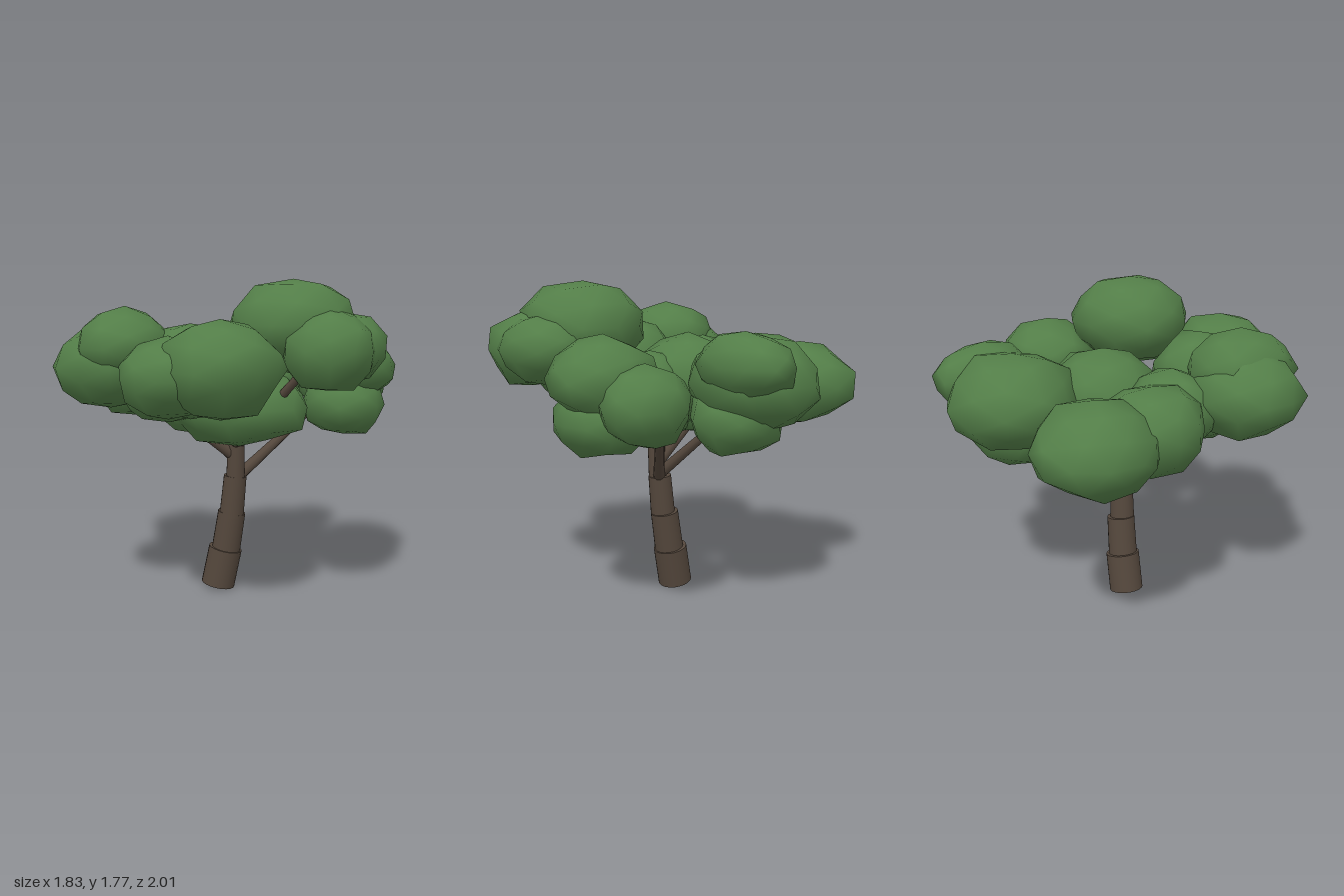
import * as THREE from 'three';
import { mergeVertices } from 'three/addons/utils/BufferGeometryUtils.js';

const bark = new THREE.MeshStandardMaterial({ color: 0x54473c });
bark.name = 'bark brown';
const leaf = new THREE.MeshStandardMaterial({ color: 0x537e48 });
leaf.name = 'leaf green';

// Small seeded random generator
function seeded(seed) {
  let s = seed * 7919 + 17;
  return () => {
    s = (s * 16807) % 2147483647;
    return s / 2147483647;
  };
}

// Tapered cylinder between two points
function limb(name, from, to, r0, r1, sides) {
  const a = new THREE.Vector3(...from), b = new THREE.Vector3(...to);
  const dir = b.clone().sub(a);
  const mesh = new THREE.Mesh(new THREE.CylinderGeometry(r1, r0, dir.length(), sides), bark);
  mesh.position.copy(a).add(b).multiplyScalar(0.5);
  mesh.quaternion.setFromUnitVectors(new THREE.Vector3(0, 1, 0), dir.normalize());
  mesh.name = name;
  return mesh;
}

// Smooth-shaded, slightly uneven low-poly ellipsoid
function leafClump(name, [x, y, z], [rx, ry, rz], seed) {
  let geo = new THREE.IcosahedronGeometry(1, 1);
  geo.deleteAttribute('normal');
  geo.deleteAttribute('uv');
  geo = mergeVertices(geo, 1e-4);
  geo.rotateY(seed * 1.3);
  const rand = seeded(seed), p = geo.attributes.position;
  for (let i = 0; i < p.count; i++) {
    const k = 0.96 + 0.15 * rand();
    p.setXYZ(i, p.getX(i) * rx * k, p.getY(i) * ry * k, p.getZ(i) * rz * k);
  }
  geo.computeVertexNormals();
  const mesh = new THREE.Mesh(geo, leaf);
  mesh.position.set(x, y, z);
  mesh.name = name;
  return mesh;
}

export function createModel() {
  const tree = new THREE.Group();
  tree.name = 'tree';

  // Leaning trunk of stacked segments
  const trunk = new THREE.Group();
  trunk.name = 'trunk';
  [
    [[-0.095, 0.019, -0.028], [-0.05, 0.237, -0.026], 0.097, 0.096],
    [[-0.05, 0.21, -0.022], [-0.012, 0.455, -0.014], 0.083, 0.079],
    [[-0.013, 0.43, -0.004], [0.01, 0.672, 0.003], 0.07, 0.065],
    [[0.012, 0.65, 0.013], [0.02, 0.98, 0.028], 0.053, 0.046],
  ].forEach(([a, b, r0, r1], i) => trunk.add(limb('trunkSegment' + (i + 1), a, b, r0, r1, 20)));
  tree.add(trunk);

  // Branches reaching out into the crown
  const branches = new THREE.Group();
  branches.name = 'branches';
  [
    [[0.02, 0.66, 0], [0.48, 1.06, -0.38]],
    [[0.02, 0.68, 0], [-0.04, 1.08, -0.45]],
    [[0.02, 0.76, 0], [-0.4, 1.14, -0.1]],
    [[0.02, 0.78, 0.02], [-0.42, 1.14, 0.18]],
    [[0.02, 0.85, 0.02], [0.02, 1.2, 0.5]],
    [[0.02, 0.85, 0.02], [0.43, 1.33, 0.32]],
  ].forEach(([a, b], i) => branches.add(limb('branch' + (i + 1), a, b, 0.034, 0.02, 10)));
  tree.add(branches);

  // Leaf clumps: name, centre, radii
  const crown = new THREE.Group();
  crown.name = 'crown';
  [
    ['topClump', [0.34, 1.535, 0.27], [0.33, 0.235, 0.335]],
    ['leftFrontClump', [0.53, 1.41, 0.46], [0.24, 0.205, 0.255]],
    ['frontClump', [0, 1.325, 0.68], [0.3, 0.24, 0.305]],
    ['frontSideClump', [-0.26, 1.28, 0.65], [0.24, 0.19, 0.25]],
    ['rightFrontClump', [-0.62, 1.32, 0.36], [0.29, 0.23, 0.29]],
    ['rightMiddleClump', [-0.57, 1.21, -0.19], [0.28, 0.22, 0.27]],
    ['rightBackClump', [-0.61, 1.19, -0.53], [0.31, 0.225, 0.32]],
    ['backClump', [0.03, 1.27, -0.64], [0.34, 0.25, 0.335]],
    ['backLowClump', [0.12, 1.09, -0.59], [0.25, 0.2, 0.24]],
    ['backSideClump', [0.24, 1.37, -0.72], [0.18, 0.17, 0.27]],
    ['leftMiddleClump', [0.62, 1.3, -0.13], [0.28, 0.205, 0.26]],
    ['leftLowClump', [0.62, 1.08, -0.11], [0.23, 0.18, 0.25]],
    ['leftBackClump', [0.62, 1.18, -0.4], [0.25, 0.195, 0.215]],
    ['centreLowClump', [0.04, 1.08, 0.08], [0.39, 0.215, 0.28]],
    ['centreBackClump', [-0.05, 1.24, -0.15], [0.29, 0.23, 0.28]],
    ['centreRightClump', [-0.43, 1.23, 0.03], [0.25, 0.21, 0.23]],
    ['centreFrontClump', [-0.19, 1.3, 0.38], [0.24, 0.25, 0.25]],
    ['innerLeftClump', [0.22, 1.24, -0.1], [0.17, 0.16, 0.18]],
    ['innerBackClump', [-0.22, 1.07, -0.06], [0.23, 0.17, 0.28]],
    ['rightUpperClump', [-0.53, 1.42, 0.39], [0.25, 0.2, 0.3]],
    ['leftOuterClump', [0.6, 1.42, 0.31], [0.22, 0.18, 0.26]],
    ['innerFrontClump', [-0.33, 1.16, 0.24], [0.25, 0.14, 0.24]],
  ].forEach(([name, c, r], i) => crown.add(leafClump(name, c, r, i + 1)));
  tree.add(crown);

  return tree;
}
